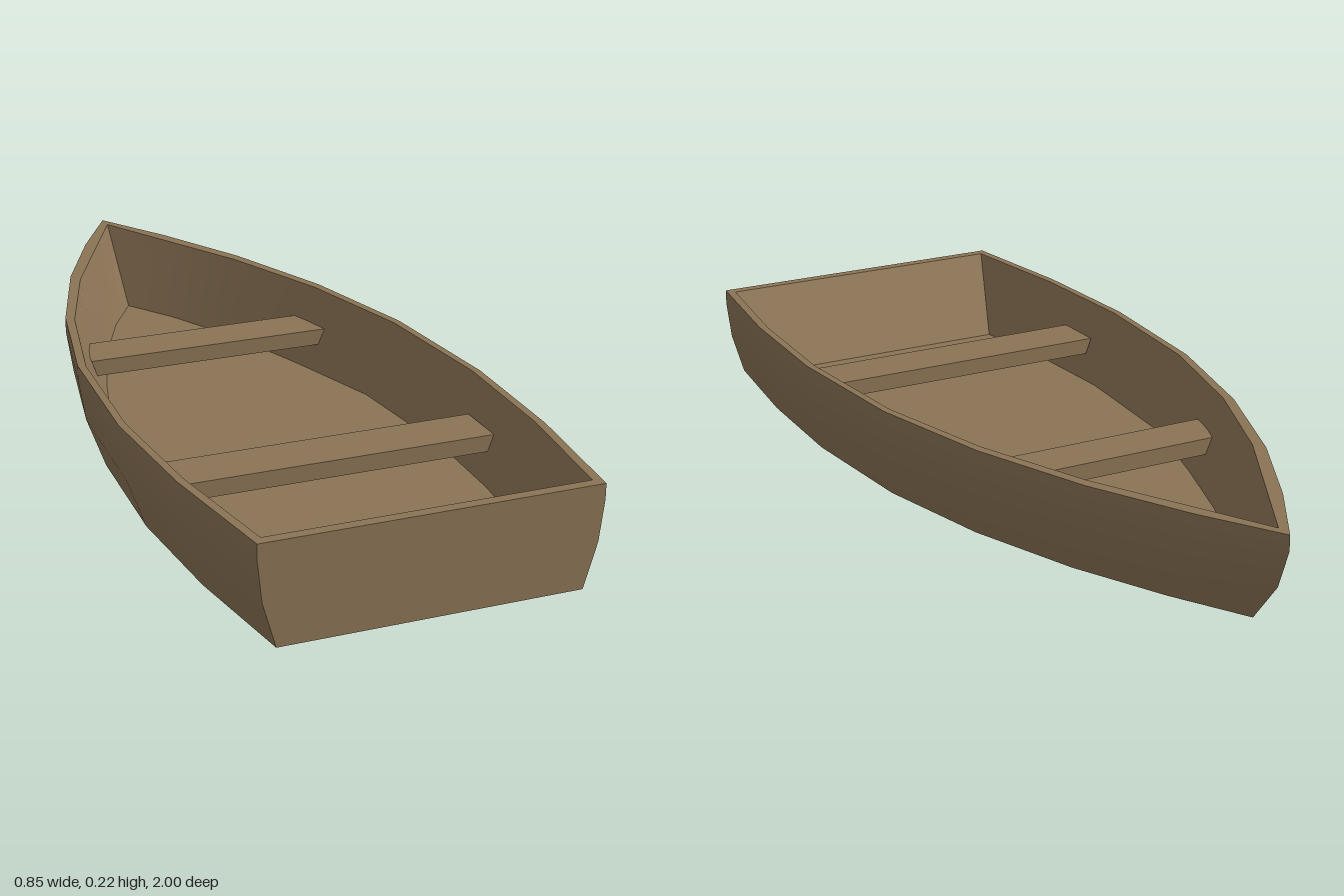
import * as THREE from 'three';
import { toCreasedNormals } from 'three/addons/utils/BufferGeometryUtils.js';

// Half outlines from stern to bow, as [x, z]
const RIM = [[0.372, 1], [0.411, 0.68], [0.424, 0.36], [0.396, 0], [0.325, -0.31], [0.222, -0.59], [0.107, -0.82], [0, -1]];
const FLOOR = [[0.297, 0.82], [0.33, 0.59], [0.342, 0.34], [0.315, 0], [0.242, -0.26], [0.172, -0.475], [0.075, -0.68], [0, -0.8]];

// Full closed ring at height y, mirrored across the centre line
function ring(half, y) {
  const left = half.map(([x, z]) => [x, y, z]);
  const right = left.filter(p => p[0] > 0).reverse().map(([x, , z]) => [-x, y, z]);
  return [...left, ...right];
}

// Walls between successive rings
function loft(rings) {
  const out = [];
  for (let r = 0; r + 1 < rings.length; r++) {
    const lo = rings[r], hi = rings[r + 1];
    lo.forEach((a, i) => {
      const k = (i + 1) % lo.length;
      out.push(a, lo[k], hi[k], a, hi[k], hi[i]);
    });
  }
  return out;
}

// Flat cap over a symmetric ring
function cap(points, faceUp) {
  const out = [];
  const tri = (a, b, c) => out.push(points[a], points[faceUp ? b : c], points[faceUp ? c : b]);
  for (let i = 0, j = points.length - 1; i + 1 < j; i++, j--) {
    tri(i, i + 1, j);
    if (i + 1 < j - 1) tri(i + 1, j - 1, j);
  }
  return out;
}

export function createModel() {
  const boat = new THREE.Group();
  boat.name = 'rowingBoat';
  const wood = new THREE.MeshStandardMaterial({ color: 0x8b7355 });
  wood.name = 'brown wood';

  const add = (name, triangles) => {
    const geometry = new THREE.BufferGeometry();
    geometry.setAttribute('position', new THREE.Float32BufferAttribute(triangles.flat(), 3));
    const mesh = new THREE.Mesh(toCreasedNormals(geometry, 0.6), wood);
    mesh.name = name;
    boat.add(mesh);
  };

  // Outline drawn in towards the keel, with the transom kept upright
  const taper = (sx, sz) => RIM.map(([x, z]) => [x * sx, 1 - (1 - z) * sz]);
  const bottom = ring(taper(0.893, 0.942), 0);
  const chine = ring(taper(0.972, 0.983), 0.1);
  const shoulder = ring(RIM, 0.19);
  const rimOuter = ring(RIM, 0.225);
  const rimInner = ring(RIM.map(([x, z]) => [Math.max(0, x - 0.017), 0.975 - (1 - z) * 0.9675]), 0.225);
  const floor = ring(FLOOR, 0.05);

  add('hull', loft([bottom, chine, shoulder, rimOuter]));
  add('hullBottom', cap(bottom, false));
  add('gunwale', loft([rimOuter, rimInner]));
  add('innerWalls', loft([rimInner, floor]));
  add('floor', cap(floor, true));

  // Bench seats with ends following the inner walls
  const seat = (name, half) => {
    const top = ring(half, 0.148);
    const under = ring(half.map(([x, z]) => [x - 0.014, z]), 0.11);
    add(name, [...loft([under, top]), ...cap(top, true), ...cap(under, false)]);
  };
  seat('sternSeat', [[0.37, 0.535], [0.372, 0.41]]);
  seat('bowSeat', [[0.297, -0.205], [0.284, -0.28], [0.268, -0.32]]);

  return boat;
}
